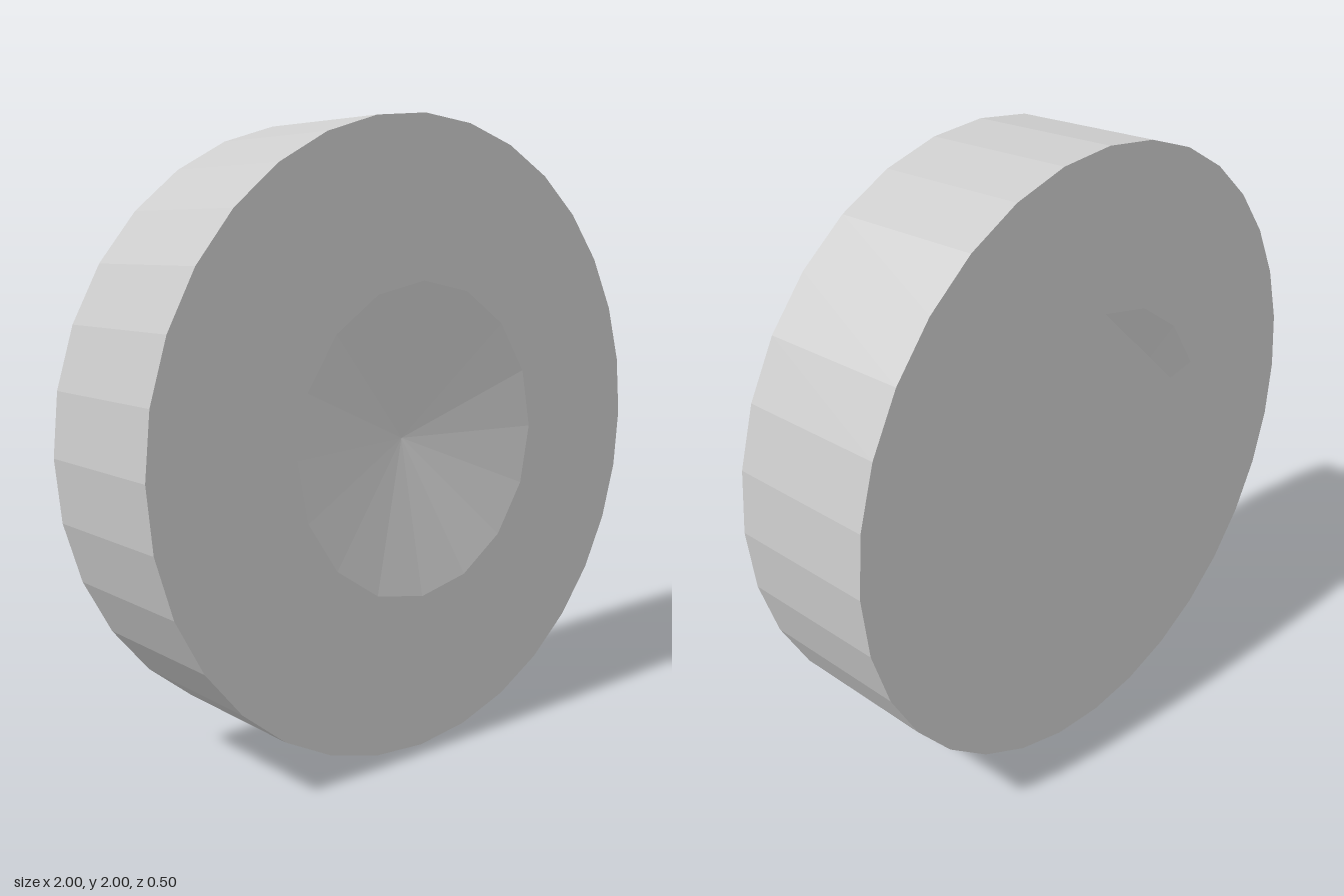
import * as THREE from 'three';

const RADIUS = 1, DEPTH = 0.5, RIM_SIDES = 32;
const DISH_RADIUS = 0.5, DISH_DEPTH = 0.1, DISH_SIDES = 16;

// Corners of a regular polygon, from the first to the last index
function corners(radius, sides, first = 0, last = sides - 1) {
  const points = [];
  for (let i = first; i <= last; i++) {
    const a = (i / sides) * Math.PI * 2;
    points.push(new THREE.Vector2(Math.cos(a) * radius, Math.sin(a) * radius));
  }
  return points;
}

// Flat round face with one opening
function faceGeometry(opening) {
  const shape = new THREE.Shape(corners(RADIUS, RIM_SIDES));
  shape.holes.push(new THREE.Path(opening));
  return new THREE.ShapeGeometry(shape).translate(0, 0, DEPTH / 2);
}

// Shallow faceted cone sunk into the front
function dishGeometry() {
  return new THREE.ConeGeometry(DISH_RADIUS, DISH_DEPTH, DISH_SIDES, 1, true)
    .rotateX(-Math.PI / 2)
    .translate(0, 0, DEPTH / 2 - DISH_DEPTH / 2);
}

export function createModel() {
  const group = new THREE.Group();
  group.name = 'wheel';
  const solid = new THREE.MeshStandardMaterial({ color: 0xcccccc, flatShading: true });
  const thin = new THREE.MeshStandardMaterial({
    color: 0xcccccc, flatShading: true, side: THREE.DoubleSide,
  });

  const add = (name, geometry, material) => {
    const mesh = new THREE.Mesh(geometry, material);
    mesh.name = name;
    mesh.position.y = RADIUS;
    group.add(mesh);
    return mesh;
  };

  // Outer rim
  add('rim', new THREE.CylinderGeometry(RADIUS, RADIUS, DEPTH, RIM_SIDES, 1, true)
    .rotateX(Math.PI / 2), solid);

  // Front face, open over the whole dish
  add('frontFace', faceGeometry(corners(DISH_RADIUS, DISH_SIDES)), solid);
  add('frontDish', dishGeometry(), thin);

  // Back face, covering its dish except for a crescent-shaped slot
  const slot = [new THREE.Vector2(0.491, 0.035), ...corners(DISH_RADIUS, DISH_SIDES, 1, 4)];
  add('backFace', faceGeometry(slot).rotateY(Math.PI), solid);
  add('backDish', dishGeometry().rotateY(Math.PI), thin);

  return group;
}
